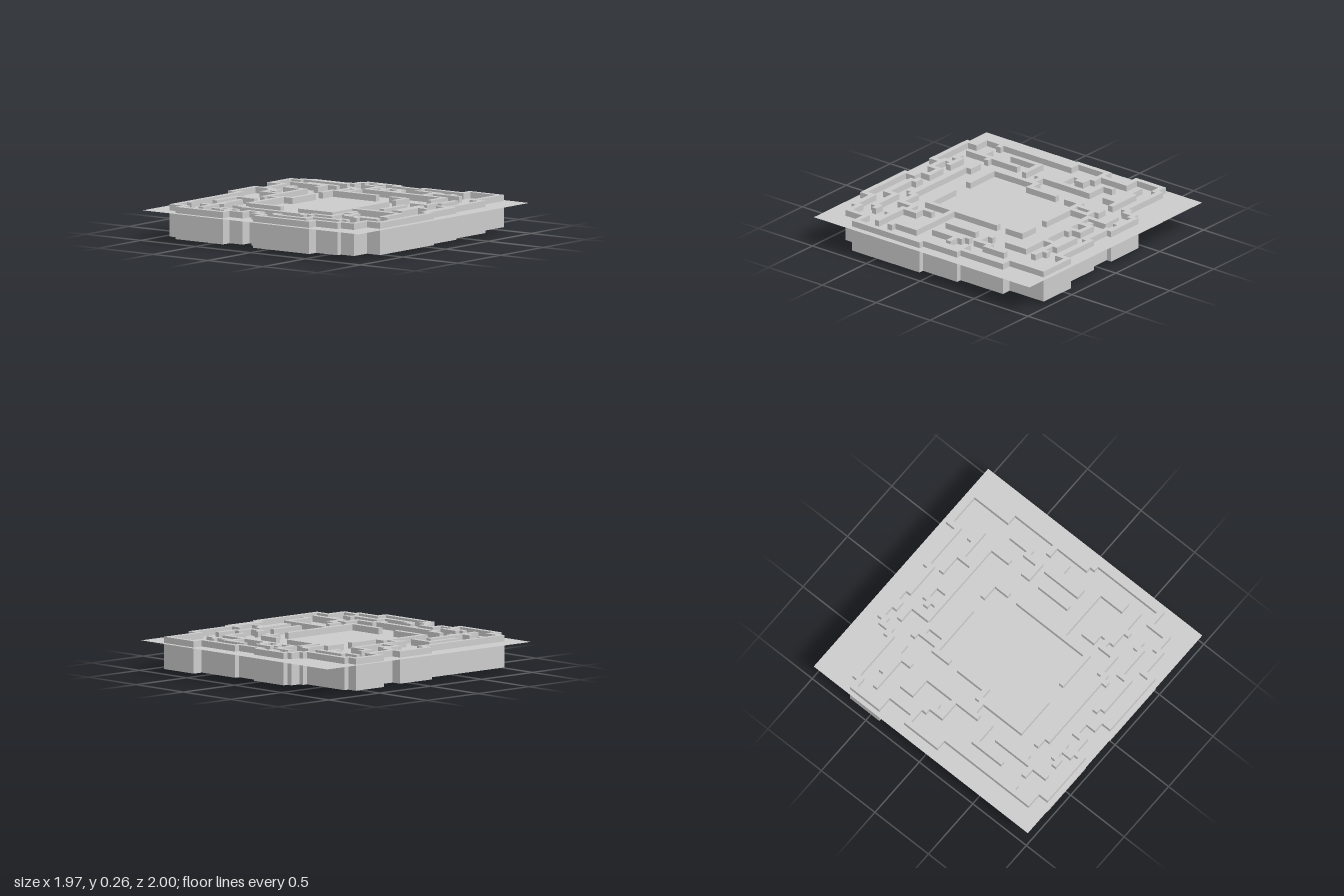
import * as THREE from 'three';

const COLS = 48, ROWS = 49, CELL = 0.0393;
const X0 = -0.95, Z0 = -0.965;
const BOTTOM = 0.03, GROUND = 0.22, TOP = 0.265;
const material = new THREE.MeshStandardMaterial({ color: 0xcccccc, side: THREE.DoubleSide, flatShading: true });

// Marks the grid cells along a right-angled path of column, row pairs
function wall(cells, ...p) {
  let [c, r] = p;
  cells.add(c + r * COLS);
  for (let i = 2; i < p.length; i += 2) {
    while (c !== p[i] || r !== p[i + 1]) {
      if (c !== p[i]) c += Math.sign(p[i] - c);
      else r += Math.sign(p[i + 1] - r);
      cells.add(c + r * COLS);
    }
  }
}

function layOutMaze() {
  const cells = new Set();
  const w = (...p) => wall(cells, ...p);
  // perimeter, clockwise from the back
  w(36, 0, 43, 0, 43, 8, 45, 8, 45, 18, 46, 18, 46, 26, 47, 26, 47, 41, 44, 41, 44, 45, 41, 45, 41, 46,
    36, 46, 36, 48, 24, 48, 24, 46, 22, 46, 22, 44, 19, 44, 19, 46, 16, 46, 16, 48, 6, 48, 6, 46, 3, 46);
  w(3, 46, 3, 26, 1, 26, 1, 19, 3, 19, 3, 13, 0, 13, 0, 7, 2, 7, 2, 6, 12, 6, 12, 5, 13, 5, 13, 3,
    14, 3, 14, 2, 21, 2, 21, 3, 27, 3, 27, 2, 36, 2, 36, 0);
  w(45, 18, 45, 25);
  w(17, 3, 18, 3);
  w(43, 18, 45, 18);
  w(4, 42, 4, 42);
  // central room
  w(15, 20, 15, 26, 13, 26, 13, 36, 20, 36);
  w(32, 20, 32, 36, 25, 36);
  w(15, 17, 15, 14, 25, 14);
  w(29, 14, 32, 14, 32, 17);
  // back passages
  w(3, 10, 10, 10, 10, 12);
  w(6, 9, 12, 9);
  w(15, 9, 16, 9, 16, 14);
  w(16, 10, 18, 10, 18, 14);
  w(16, 5, 19, 5, 19, 9, 37, 9, 37, 13);
  w(22, 6, 25, 6, 25, 9, 22, 9, 22, 6);
  w(21, 7, 21, 7);
  w(26, 8, 26, 8);
  w(28, 5, 33, 5, 33, 6, 38, 6);
  w(32, 5, 32, 9);
  w(36, 5, 36, 6);
  // passages on the -x side
  w(6, 14, 6, 16, 10, 16, 10, 27, 13, 27);
  w(10, 28, 10, 28);
  w(10, 23, 6, 23, 6, 21, 7, 21, 7, 20, 5, 20, 5, 19, 3, 19);
  w(10, 31, 6, 31, 6, 37);
  w(9, 34, 9, 45);
  w(9, 40, 10, 40);
  w(7, 42, 9, 42);
  // passages on the +x side
  w(41, 11, 41, 15, 40, 15, 40, 18, 37, 18, 37, 17);
  w(37, 21, 37, 27);
  w(40, 20, 40, 27, 41, 27, 41, 21);
  w(41, 22, 43, 22);
  w(32, 30, 43, 30, 43, 35, 44, 35);
  // front passages
  w(35, 33, 35, 35, 37, 35, 37, 38, 40, 38, 40, 39);
  w(41, 38, 44, 38);
  w(13, 40, 15, 40, 15, 41, 31, 41, 31, 40, 35, 40, 35, 37, 37, 37);
  w(30, 41, 30, 42);
  w(25, 44, 26, 44, 26, 45, 33, 45, 33, 43, 39, 43, 39, 42, 40, 42);
  w(12, 45, 13, 45, 13, 44, 16, 44);
  w(15, 44, 15, 46);
  return cells;
}

// Finds every open cell that can be reached from outside the perimeter
function findOutside(cells) {
  const seen = new Set(), stack = [[-1, -1]];
  while (stack.length) {
    const [c, r] = stack.pop(), key = c + ',' + r;
    if (c < -1 || r < -1 || c > COLS || r > ROWS || seen.has(key)) continue;
    if (c >= 0 && c < COLS && r >= 0 && r < ROWS && cells.has(c + r * COLS)) continue;
    seen.add(key);
    stack.push([c + 1, r], [c - 1, r], [c, r + 1], [c, r - 1]);
  }
  return seen;
}

function quadMesh(name, quads) {
  const pos = [];
  for (const [a, b, c, d] of quads) pos.push(...a, ...b, ...c, ...a, ...c, ...d);
  const geo = new THREE.BufferGeometry();
  geo.setAttribute('position', new THREE.Float32BufferAttribute(pos, 3));
  geo.computeVertexNormals();
  const mesh = new THREE.Mesh(geo, material);
  mesh.name = name;
  return mesh;
}

export function createModel() {
  const group = new THREE.Group();
  group.name = 'maze';
  const cells = layOutMaze();
  const outside = findOutside(cells);
  const isWall = (c, r) => c >= 0 && r >= 0 && c < COLS && r < ROWS && cells.has(c + r * COLS);
  const tops = [], sides = [], floor = [];

  for (let r = 0; r < ROWS; r++) {
    for (let c = 0; c < COLS; c++) {
      const x = X0 + c * CELL, z = Z0 + r * CELL, x1 = x + CELL, z1 = z + CELL;
      if (!isWall(c, r)) {
        if (!outside.has(c + ',' + r)) {
          floor.push([[x, BOTTOM, z], [x1, BOTTOM, z], [x1, BOTTOM, z1], [x, BOTTOM, z1]]);
        }
        continue;
      }
      tops.push([[x, TOP, z], [x, TOP, z1], [x1, TOP, z1], [x1, TOP, z]]);
      const side = (ax, az, bx, bz) =>
        sides.push([[ax, BOTTOM, az], [bx, BOTTOM, bz], [bx, TOP, bz], [ax, TOP, az]]);
      if (!isWall(c, r + 1)) side(x, z1, x1, z1);
      if (!isWall(c, r - 1)) side(x1, z, x, z);
      if (!isWall(c + 1, r)) side(x1, z1, x1, z);
      if (!isWall(c - 1, r)) side(x, z, x, z1);
    }
  }
  // hollow walls, open underneath, with the underside closed between them
  group.add(quadMesh('wallTops', tops), quadMesh('wallSides', sides), quadMesh('underside', floor));

  // thin ground sheet through the walls
  const ground = new THREE.Mesh(new THREE.PlaneGeometry(1.966, 2).rotateX(-Math.PI / 2), material);
  ground.name = 'ground';
  ground.position.y = GROUND;
  group.add(ground);

  // oval ring foot below
  const smooth = new THREE.MeshStandardMaterial({ color: 0xcccccc, side: THREE.DoubleSide });
  const foot = new THREE.Mesh(new THREE.CylinderGeometry(1, 1, BOTTOM, 48, 1, true), smooth);
  foot.name = 'foot';
  foot.scale.set(0.203, 1, 0.157);
  foot.position.set(-0.005, BOTTOM / 2, -0.135);
  group.add(foot);

  return group;
}
